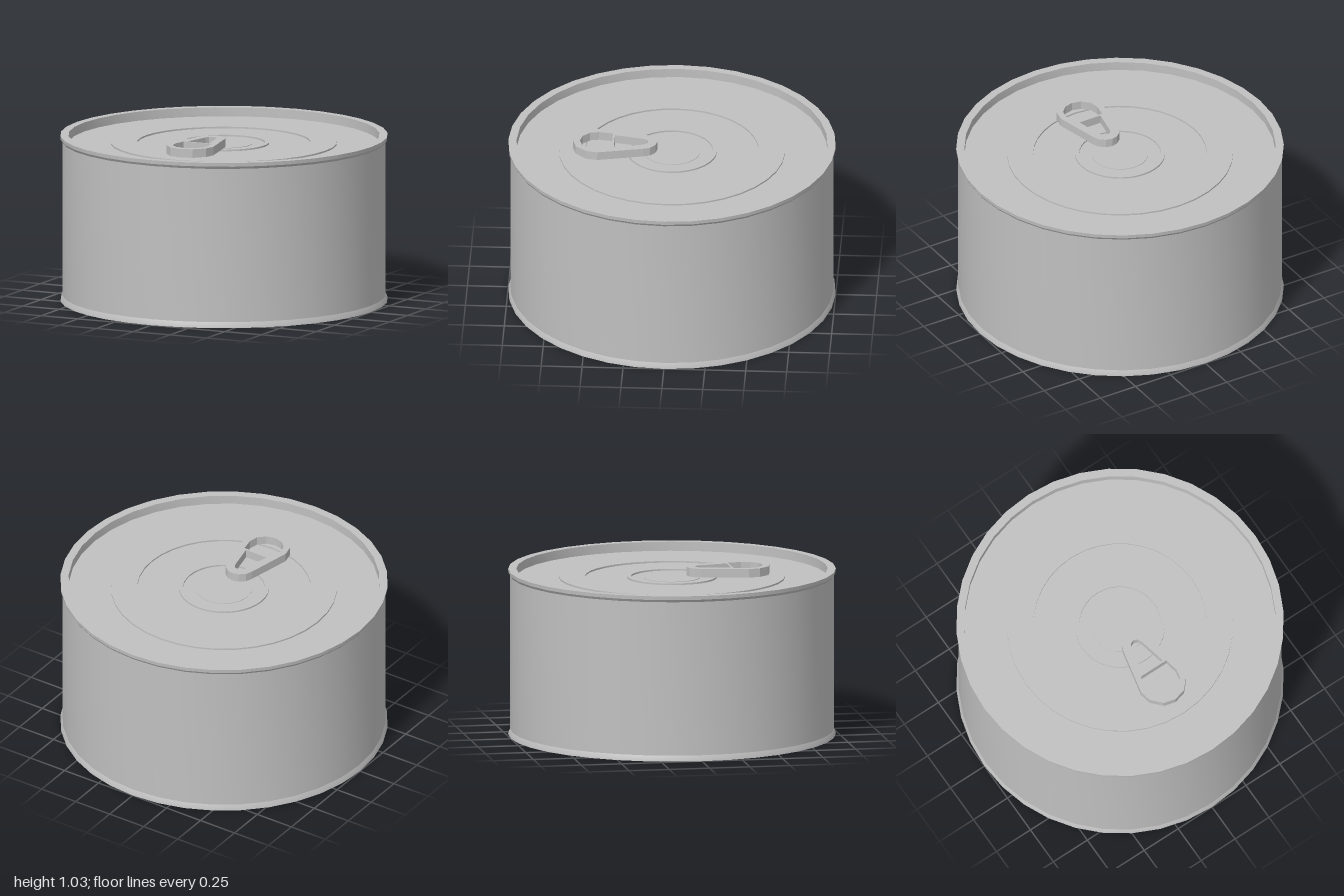
import * as THREE from 'three';
import { toCreasedNormals } from 'three/addons/utils/BufferGeometryUtils.js';

const SIDES = 36;

// Revolve a profile of [radius, height] pairs, keeping its corners sharp
function revolve(name, profile, material) {
  const points = profile.map(([r, y]) => new THREE.Vector2(r, y));
  const mesh = new THREE.Mesh(toCreasedNormals(new THREE.LatheGeometry(points, SIDES), 0.35), material);
  mesh.name = name;
  return mesh;
}

// Mirror a half outline of [x, z] pairs across x = 0
function mirrored(half, PathType) {
  const other = half.filter(([x]) => x > 0).reverse().map(([x, z]) => [-x, z]);
  return new PathType([...half, ...other].map(([x, z]) => new THREE.Vector2(x, z)));
}

export function createModel() {
  const model = new THREE.Group();
  model.name = 'tinCan';
  const metal = new THREE.MeshStandardMaterial({ color: 0xc0c0c0 });
  metal.name = 'greyMetal';

  // Underside: recessed base with two raised ridges and a deeper centre
  model.add(revolve('base', [
    [0, 0.073], [0.557, 0.073], [0.557, 0.025], [0.606, 0.025], [0.606, 0.05],
    [0.76, 0.05], [0.76, 0.03], [0.806, 0.03], [0.806, 0.05],
    [0.95, 0.05], [0.95, 0], [1, 0],
  ], metal));

  // Side wall, flared at both ends
  model.add(revolve('wall', [
    [1, 0], [0.998, 0.012], [0.988, 0.035], [0.988, 0.985], [0.998, 1.0], [1, 1.023],
  ], metal));

  // Lid: rim, sunken panel, raised ring and central rivet ring
  model.add(revolve('lid', [
    [1, 1.023], [0.95, 1.023], [0.95, 0.967],
    [0.69, 0.967], [0.69, 0.977], [0.53, 0.977], [0.53, 0.967],
    [0.275, 0.967], [0.275, 0.977], [0.25, 0.977], [0.25, 0.967],
    [0.172, 0.967], [0.172, 0.97], [0, 0.97],
  ], metal));

  // Pull tab with two openings
  const tab = mirrored([
    [0, 0.09], [0.04, 0.1], [0.075, 0.13], [0.09, 0.17], [0.15, 0.45],
    [0.135, 0.52], [0.075, 0.585], [0, 0.605],
  ], THREE.Shape);
  tab.holes.push(
    mirrored([[0, 0.145], [0.025, 0.155], [0.038, 0.18], [0.075, 0.352]], THREE.Path),
    mirrored([[0.095, 0.365], [0.11, 0.45], [0.098, 0.505], [0.055, 0.548], [0, 0.562]], THREE.Path),
  );
  const tabGeometry = new THREE.ExtrudeGeometry(tab, { depth: 0.053, bevelEnabled: false });
  tabGeometry.rotateX(Math.PI / 2);
  const pullTab = new THREE.Mesh(tabGeometry, metal);
  pullTab.name = 'pullTab';
  pullTab.position.y = 1.03;
  model.add(pullTab);

  return model;
}
